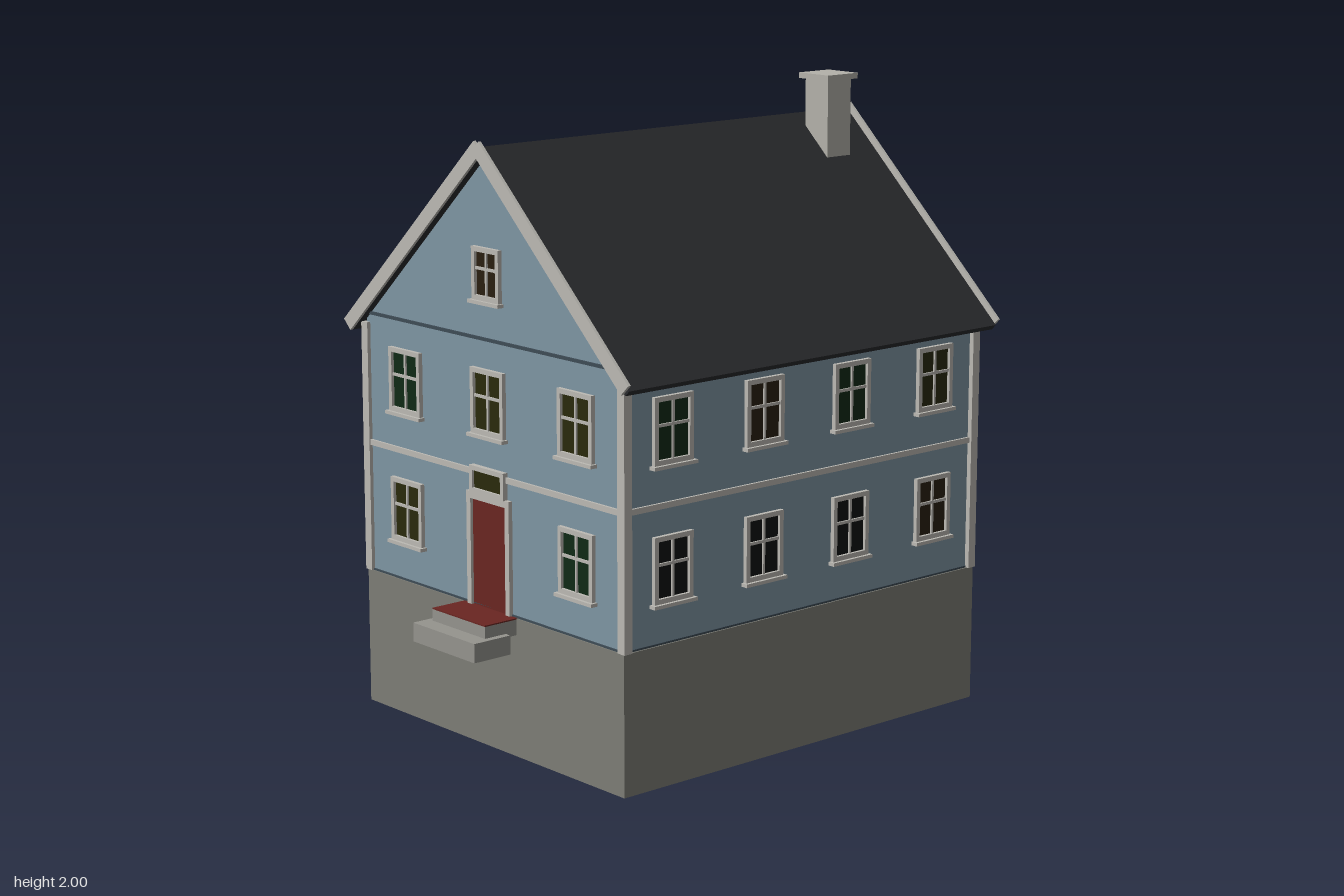
import * as THREE from 'three';

const mat = (color) => new THREE.MeshStandardMaterial({ color });
const M = {
  wall: mat(0x7f96a4), seam: mat(0x3e4c56), base: mat(0x7d7d76), trim: mat(0xbcbab4), roof: mat(0x2a2b2e),
  stone: mat(0x95948e), chimney: mat(0xb4b2aa), door: mat(0x6a2622),
  green: mat(0x0f2a16), olive: mat(0x2a2a0c), brown: mat(0x2a1f10), black: mat(0x0a0f10),
};

// house body extents
const X = 0.622, ZF = 0.665, ZB = -0.8, ZC = (ZF + ZB) / 2, FLOOR = 0.44;

function add(parent, name, geometry, material) {
  const mesh = new THREE.Mesh(geometry, material);
  mesh.name = name;
  parent.add(mesh);
  return mesh;
}

// box given by its limits on each axis
function box(parent, name, material, x0, x1, y0, y1, z0, z1) {
  const mesh = add(parent, name, new THREE.BoxGeometry(x1 - x0, y1 - y0, z1 - z0), material);
  mesh.position.set((x0 + x1) / 2, (y0 + y1) / 2, (z0 + z1) / 2);
  return mesh;
}

// symmetric profile (right half given, from top to bottom centre) extruded along z
function prism(parent, name, material, half, z0, z1) {
  const left = half.filter(([x]) => x > 0).map(([x, y]) => [-x, y]).reverse();
  const shape = new THREE.Shape([...half, ...left].map(([x, y]) => new THREE.Vector2(x, y)));
  const geometry = new THREE.ExtrudeGeometry(shape, { depth: z1 - z0, bevelEnabled: false });
  geometry.translate(0, 0, z0);
  return add(parent, name, geometry, material);
}

// rectangular frame around an opening, facing +z
function frame(parent, name, w, h, border, depth) {
  const rect = (path, a, b) => path.moveTo(-a, -b).lineTo(a, -b).lineTo(a, b).lineTo(-a, b).closePath();
  const shape = rect(new THREE.Shape(), w / 2, h / 2);
  shape.holes.push(rect(new THREE.Path(), w / 2 - border, h / 2 - border));
  return add(parent, name, new THREE.ExtrudeGeometry(shape, { depth, bevelEnabled: false }), M.trim);
}

// window with frame, glass, cross bars and sill
function makeWindow(w, h, glass) {
  const g = new THREE.Group();
  g.name = 'window';
  frame(g, 'windowFrame', w, h, 0.015, 0.014);
  box(g, 'glass', glass, -w / 2 + 0.01, w / 2 - 0.01, -h / 2 + 0.01, h / 2 - 0.01, -0.01, 0.004);
  box(g, 'verticalBar', M.trim, -0.004, 0.004, -h / 2 + 0.01, h / 2 - 0.01, 0, 0.01);
  box(g, 'crossBar', M.trim, -w / 2 + 0.01, w / 2 - 0.01, 0.011, 0.02, 0, 0.01);
  box(g, 'sill', M.trim, -w / 2 - 0.008, w / 2 + 0.008, -h / 2 - 0.011, -h / 2, -0.005, 0.024);
  return g;
}

export function createModel() {
  const house = new THREE.Group();
  house.name = 'house';

  // foundation and walls with gables
  box(house, 'foundation', M.base, -0.631, 0.631, 0, FLOOR, -0.81, 0.673);
  prism(house, 'walls', M.wall, [[0, 1.842], [X, 1.262], [X, FLOOR]], ZB, ZF);

  // strips running round the walls
  const strip = (name, m, y0, y1, out) =>
    box(house, name, m, -X - out, X + out, y0, y1, ZB - out, ZF + out);
  strip('sillSeam', M.seam, FLOOR, FLOOR + 0.006, 0.004);
  strip('floorBand', M.trim, 0.853, 0.871, 0.008);
  for (const [z0, z1] of [[ZF - 0.01, ZF + 0.006], [ZB - 0.006, ZB + 0.01]])
    box(house, 'gableSeam', M.seam, -0.605, 0.605, 1.276, 1.286, z0, z1);

  // corner boards
  for (const sx of [-1, 1])
    for (const [z0, z1] of [[ZF - 0.018, ZF + 0.012], [ZB - 0.012, ZB + 0.018]]) {
      const a = sx * 0.606, b = sx * 0.638;
      box(house, 'cornerBoard', M.trim, Math.min(a, b), Math.max(a, b), FLOOR, 1.25, z0, z1);
    }

  // roof covering and gable boards
  prism(house, 'roof', M.roof, [[0, 1.867], [0.682, 1.236], [0.666, 1.22], [0, 1.838]], -0.836, 0.696);
  const board = [[0, 1.874], [0.012, 1.885], [0.69, 1.254], [0.657, 1.222], [0, 1.833]];
  prism(house, 'frontGableBoard', M.trim, board, 0.696, 0.706);
  prism(house, 'backGableBoard', M.trim, board, -0.846, -0.836);

  // chimney
  box(house, 'chimney', M.chimney, 0.04, 0.143, 1.68, 1.982, -0.712, -0.61);
  box(house, 'chimneyCap', M.chimney, 0.024, 0.158, 1.982, 2, -0.728, -0.595);

  // door, transom light and steps
  box(house, 'door', M.door, -0.085, 0.085, FLOOR, 0.778, ZF - 0.01, ZF + 0.004);
  for (const s of [-1, 1])
    box(house, 'doorPost', M.trim, s * 0.094 - 0.01, s * 0.094 + 0.01, FLOOR, 0.778, ZF - 0.01, ZF + 0.014);
  box(house, 'doorHead', M.trim, -0.104, 0.104, 0.778, 0.8, ZF - 0.01, ZF + 0.014);
  frame(house, 'transomFrame', 0.166, 0.085, 0.015, 0.018).position.set(0, 0.842, ZF);
  box(house, 'transomGlass', M.olive, -0.075, 0.075, 0.807, 0.877, ZF - 0.01, ZF + 0.01);
  box(house, 'upperStep', M.stone, -0.13, 0.13, 0.388, 0.437, 0.66, 0.795);
  box(house, 'doorMat', M.door, -0.13, 0.13, 0.437, 0.441, 0.66, 0.795);
  box(house, 'lowerStep', M.stone, -0.152, 0.152, 0.34, 0.4, 0.715, 0.853);

  // front windows
  const place = (w, h, glass, x, y, z, turn) => {
    const win = makeWindow(w, h, M[glass]);
    win.position.set(x, y, z);
    win.rotation.y = turn;
    house.add(win);
  };
  const UP = 1.088, LOW = 0.67;
  for (const [x, y, glass] of [[-0.415, UP, 'green'], [0, UP, 'olive'], [0.415, UP, 'olive'],
    [-0.415, LOW, 'olive'], [0.415, LOW, 'green']]) place(0.158, 0.204, glass, x, y, ZF, 0);
  place(0.13, 0.162, 'brown', 0, 1.481, ZF, 0);

  // side windows, listed from front to back
  const sides = [
    [1, UP, ['green', 'brown', 'green', 'olive']], [1, LOW, ['black', 'black', 'black', 'brown']],
    [-1, UP, ['green', 'brown', 'brown', 'black']], [-1, LOW, ['brown', 'olive', 'brown', 'brown']],
  ];
  for (const [s, y, row] of sides)
    row.forEach((glass, i) => place(0.152, 0.204, glass, s * X, y, 0.482 - i * 0.366, s * Math.PI / 2));

  return house;
}
